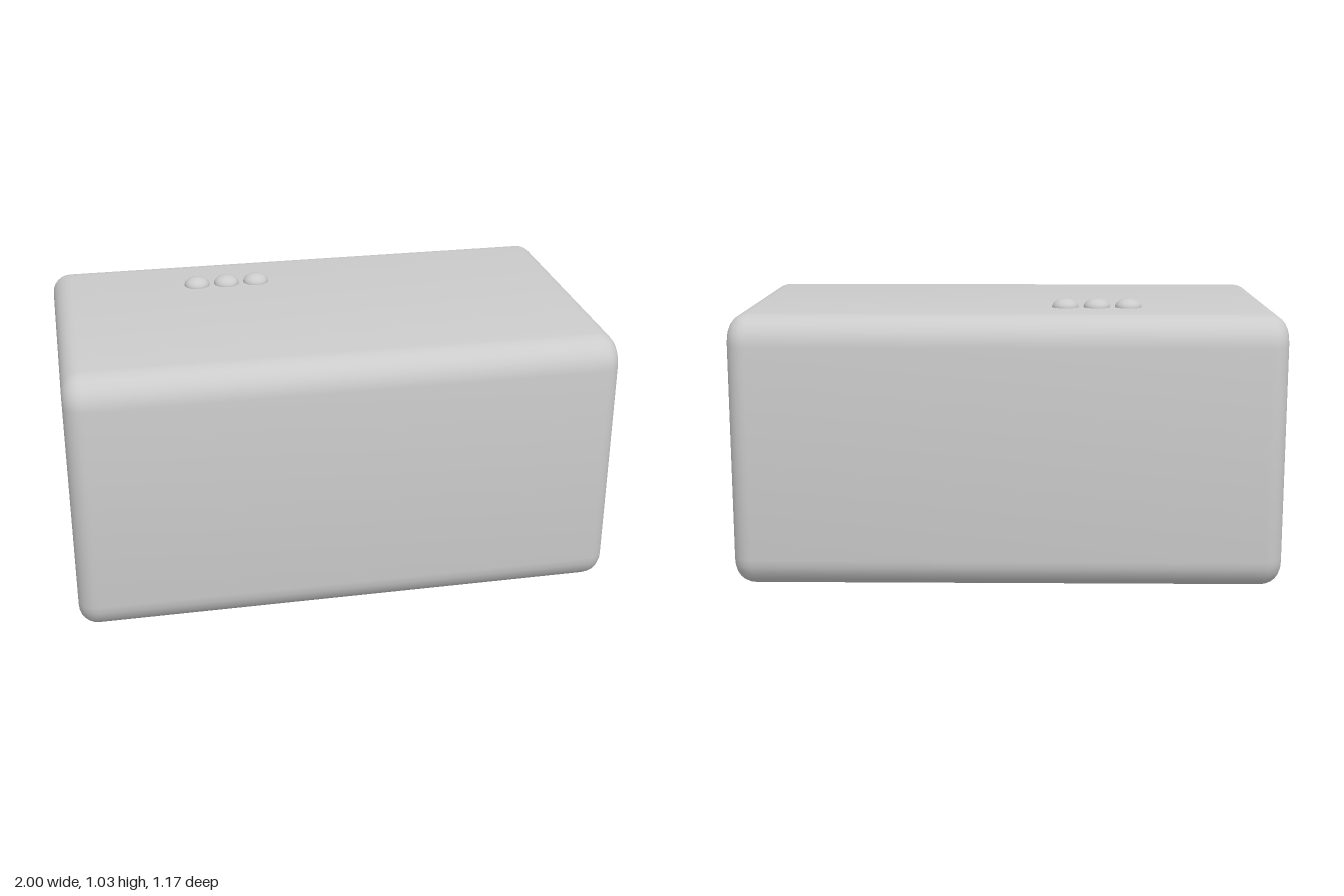
import * as THREE from 'three';
import { toCreasedNormals } from 'three/addons/utils/BufferGeometryUtils.js';

const HALF_LENGTH = 1, HALF_DEPTH = 0.585, MID_Y = 0.5;
const CORNER = 0.11, BEVEL = 0.07, RECESS = 0.035;
const CORNER_STEPS = 6, BEVEL_STEPS = 6;

const material = new THREE.MeshStandardMaterial({ color: 0xcccccc });

// Rounded rectangle in the yz plane, set in from the body outline
function ring(x, inset, radius) {
  const points = [];
  const w = HALF_DEPTH - inset - radius, h = MID_Y - inset - radius;
  const signs = [[1, 1], [-1, 1], [-1, -1], [1, -1]];
  signs.forEach(([su, sv], q) => {
    for (let i = 0; i <= CORNER_STEPS; i++) {
      const a = (q + i / CORNER_STEPS) * Math.PI / 2;
      const u = su * w + radius * Math.cos(a);
      const v = sv * h + radius * Math.sin(a);
      points.push([x, MID_Y + v, -u]);
    }
  });
  return points;
}

// Body skin: recessed panel, recess wall, flat rim, bevel, then mirrored along x
function bodyGeometry() {
  const half = [[HALF_LENGTH - RECESS, 0.102, 0.05], [HALF_LENGTH, 0.102, 0.05]];
  for (let i = 0; i <= BEVEL_STEPS; i++) {
    const a = i / BEVEL_STEPS * Math.PI / 2;
    const inset = BEVEL * (1 - Math.sin(a));
    half.push([HALF_LENGTH - BEVEL * (1 - Math.cos(a)), inset, CORNER - inset]);
  }
  const rings = [
    ...half.map(([x, d, r]) => ring(-x, d, r)),
    ...half.slice().reverse().map(([x, d, r]) => ring(x, d, r)),
  ];
  const n = rings[0].length, last = (rings.length - 1) * n;
  const positions = rings.flat(2);
  const start = rings.length * n, end = start + 1;
  positions.push(-HALF_LENGTH + RECESS, MID_Y, 0, HALF_LENGTH - RECESS, MID_Y, 0);

  const index = [];
  for (let j = 0; j < n; j++) {
    const k = (j + 1) % n;
    for (let i = 0; i < last; i += n) {
      index.push(i + j, i + k, i + n + j, i + k, i + n + k, i + n + j);
    }
    // End panels
    index.push(start, k, j, end, last + j, last + k);
  }
  const geometry = new THREE.BufferGeometry();
  geometry.setAttribute('position', new THREE.Float32BufferAttribute(positions, 3));
  geometry.setIndex(index);
  return toCreasedNormals(geometry, 0.6);
}

export function createModel() {
  const model = new THREE.Group();
  model.name = 'portableSpeaker';

  const body = new THREE.Mesh(bodyGeometry(), material);
  body.name = 'body';
  model.add(body);

  // Row of domed buttons on top
  const buttons = new THREE.Group();
  buttons.name = 'buttons';
  const dome = new THREE.SphereGeometry(0.049, 32, 16);
  for (let i = 0; i < 3; i++) {
    const button = new THREE.Mesh(dome, material);
    button.name = 'button' + (i + 1);
    button.scale.y = 0.65;
    button.position.set(-0.443 + i * 0.116, 1, -0.283);
    buttons.add(button);
  }
  model.add(buttons);
  return model;
}
